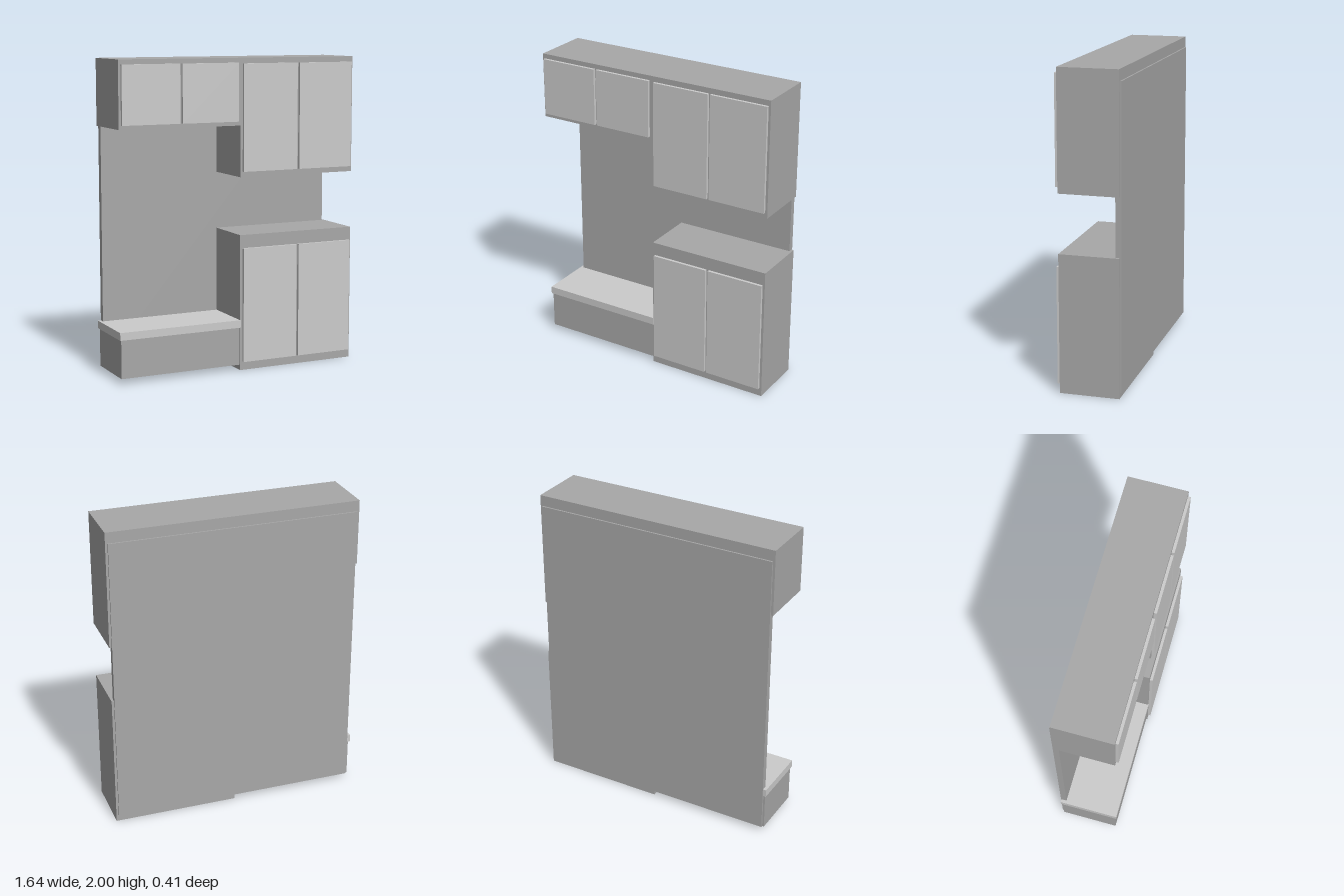
import * as THREE from 'three';

const light = new THREE.MeshStandardMaterial({ color: 0xcccccc });
const dark = new THREE.MeshStandardMaterial({ color: 0xa8a8a8 });

// Box given by its extents on each axis
function box(name, [x0, x1], [y0, y1], [z0, z1], material) {
  const mesh = new THREE.Mesh(new THREE.BoxGeometry(x1 - x0, y1 - y0, z1 - z0), material);
  mesh.position.set((x0 + x1) / 2, (y0 + y1) / 2, (z0 + z1) / 2);
  mesh.name = name;
  return mesh;
}

// Cabinet carcass with a pair of slab doors on its front
function cabinet(name, x, y, doorX, doorY) {
  const group = new THREE.Group();
  group.name = name;
  group.add(box('carcass', x, y, [-0.193, 0.185], dark));
  const gap = 0.016;
  const width = (doorX[1] - doorX[0] - gap) / 2;
  for (let i = 0; i < 2; i++) {
    const left = doorX[0] + i * (width + gap);
    group.add(box('door', [left, left + width], doorY, [0.185, 0.203], light));
  }
  return group;
}

export function createModel() {
  const model = new THREE.Group();
  model.name = 'wallUnit';

  // Back panel
  model.add(box('backPanel', [-0.8, 0.8], [0.035, 1.93], [-0.203, -0.165], dark));

  // Cabinets
  model.add(cabinet('upperShortCabinet', [-0.815, 0.003], [1.577, 2], [-0.8, -0.016], [1.603, 1.97]));
  model.add(cabinet('upperTallCabinet', [0.003, 0.815], [1.25, 2], [0.02, 0.8], [1.285, 1.965]));
  model.add(cabinet('lowerCabinet', [0.003, 0.815], [0, 0.88], [0.02, 0.8], [0.055, 0.795]));

  // Bench beside the lower cabinet
  const bench = new THREE.Group();
  bench.name = 'bench';
  bench.add(box('benchBase', [-0.812, 0.003], [0.035, 0.28], [-0.19, 0.18], dark));
  bench.add(box('benchSeat', [-0.821, 0.008], [0.28, 0.329], [-0.2, 0.188], light));
  model.add(bench);

  return model;
}
